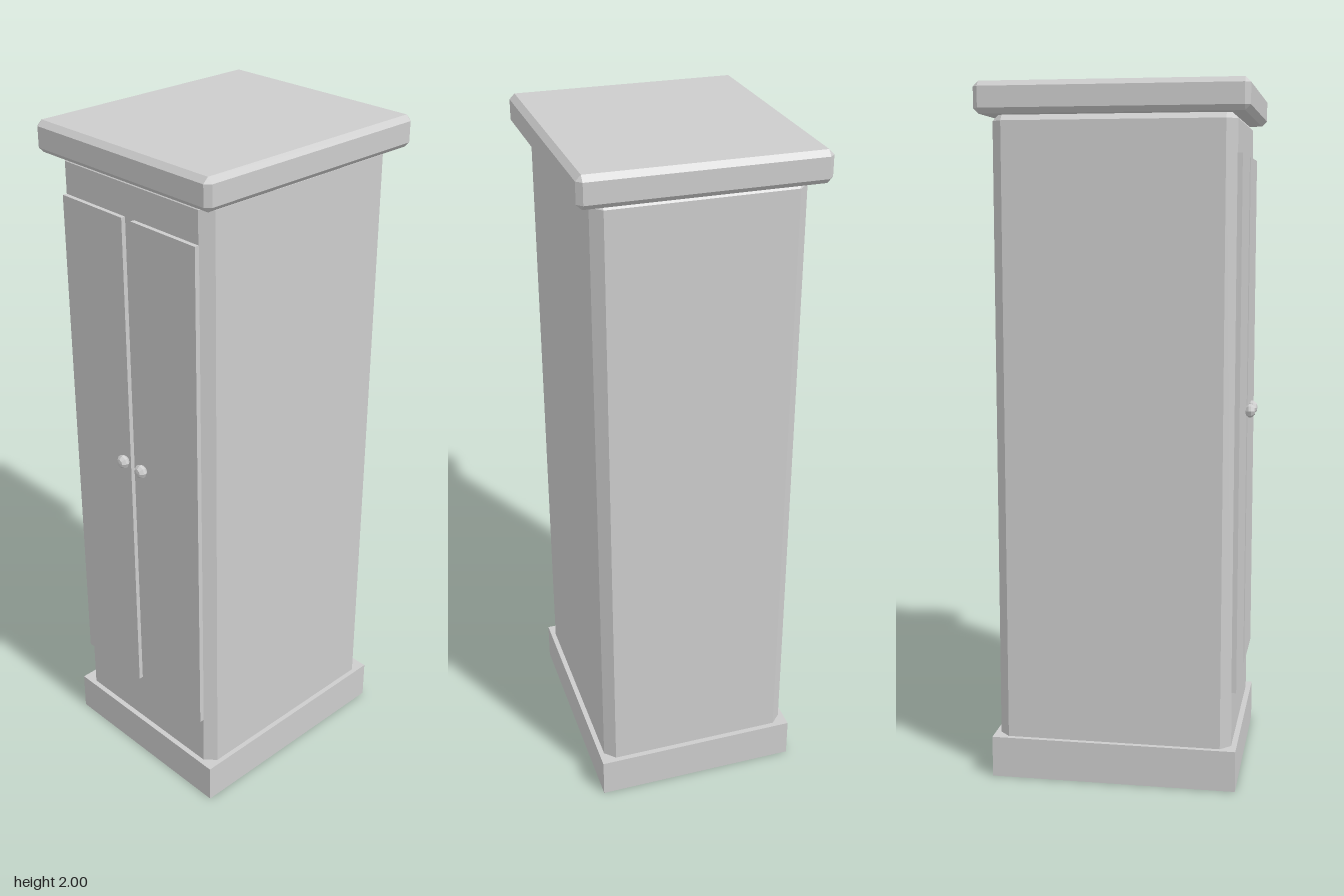
import * as THREE from 'three';
import { ConvexGeometry } from 'three/addons/geometries/ConvexGeometry.js';

// Box with every edge chamfered by c, centred on x and z, from y0 to y1
function chamferBox(w, y0, y1, d, c) {
  const h = (y1 - y0) / 2, x = w / 2, z = d / 2, points = [];
  for (const i of [-1, 1]) for (const j of [-1, 1]) for (const k of [-1, 1]) {
    points.push(
      new THREE.Vector3(i * x, j * (h - c), k * (z - c)),
      new THREE.Vector3(i * (x - c), j * h, k * (z - c)),
      new THREE.Vector3(i * (x - c), j * (h - c), k * z));
  }
  return new ConvexGeometry(points).translate(0, (y0 + y1) / 2, 0);
}

export function createModel() {
  const model = new THREE.Group();
  model.name = 'cabinet';
  const grey = new THREE.MeshStandardMaterial({ color: 0xcccccc, flatShading: true });
  grey.name = 'light grey';

  const add = (name, geometry, x = 0, y = 0, z = 0) => {
    const mesh = new THREE.Mesh(geometry, grey);
    mesh.name = name;
    mesh.position.set(x, y, z);
    model.add(mesh);
    return mesh;
  };

  // Plinth, carcass and overhanging top
  add('plinth', new THREE.BoxGeometry(0.61, 0.12, 0.716), 0, 0.06, 0);
  add('carcass', chamferBox(0.58, 0.07, 1.926, 0.684, 0.03));
  add('top', chamferBox(0.67, 1.912, 2, 0.76, 0.015));

  // Mirrored doors, each with a faceted knob near the middle
  for (const [side, s] of [['left', 1], ['right', -1]]) {
    add(side + 'Door', new THREE.BoxGeometry(0.243, 1.525, 0.03), s * 0.1395, 1.0425, 0.34);
    const profile = [[0, -0.016], [0.012, -0.014], [0.02, -0.004], [0.02, 0.004], [0.012, 0.014], [0, 0.016]];
    const knob = new THREE.LatheGeometry(profile.map(([r, y]) => new THREE.Vector2(r, y)), 8);
    add(side + 'Knob', knob.rotateX(Math.PI / 2), s * 0.038, 1.07, 0.367);
  }
  return model;
}
